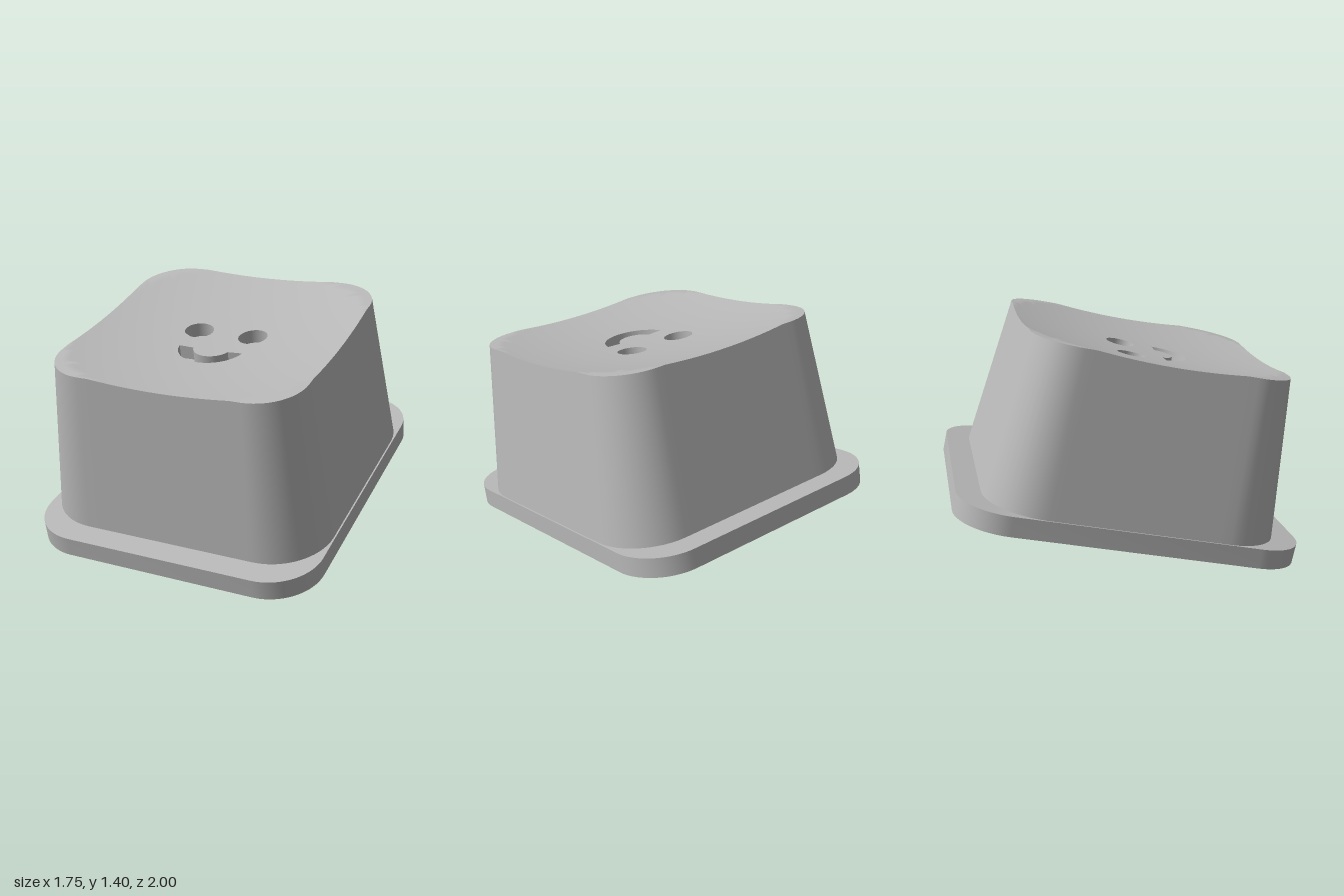
import * as THREE from 'three';
import { toCreasedNormals } from 'three/addons/utils/BufferGeometryUtils.js';

const TILT = THREE.MathUtils.degToRad(12);
const PLATE = { hx: 0.875, hz: 1.01, r: 0.3, h: 0.115 };
const TOP = 1.053;        // height of the flat corners of the cap
const DISH_R = 0.87;      // radius where the dish meets the flat corners
const DISH_D = 0.092;     // depth of the dish
const FACE_R = 0.32;      // disc that carries the eyes and mouth
const FACE_FLOOR = 0.885; // floor height of the eyes and mouth

const dishY = (x, z) => TOP - DISH_D * Math.max(0, 1 - (x * x + z * z) / DISH_R ** 2);

// Loops are 2D points, counter-clockwise from above, with 2D y = -z.
function arc(cx, cy, r, a0, a1, n) {
  return Array.from({ length: n + 1 }, (_, i) => {
    const a = a0 + (a1 - a0) * i / n;
    return new THREE.Vector2(cx + r * Math.cos(a), cy + r * Math.sin(a));
  });
}
const circle = (cx, cy, r, n = 48) => arc(cx, cy, r, 0, Math.PI * 2, n).slice(0, -1);

function roundedRect(hx, hy, r, nArc = 12, nSide = 16) {
  const signs = [[1, 1], [-1, 1], [-1, -1], [1, -1]];
  const corners = signs.map(([sx, sy], k) =>
    arc(sx * (hx - r), sy * (hy - r), r, k * Math.PI / 2, (k + 1) * Math.PI / 2, nArc));
  const pts = [];
  corners.forEach((c, k) => {
    pts.push(...c);
    const end = c[nArc], next = corners[(k + 1) % 4][0];
    for (let i = 1; i < nSide; i++) pts.push(end.clone().lerp(next, i / nSide));
  });
  return pts;
}

const lift = (loop, y) => loop.map(p =>
  new THREE.Vector3(p.x, typeof y === 'function' ? y(p.x, -p.y) : y, -p.y));

// Closed surface band through rows of equal length
function band(rows) {
  const n = rows[0].length, pos = [], idx = [];
  rows.forEach(row => row.forEach(p => pos.push(p.x, p.y, p.z)));
  for (let i = 0; i < rows.length - 1; i++) {
    for (let j = 0; j < n; j++) {
      const a = i * n + j, b = i * n + (j + 1) % n;
      idx.push(a, b, b + n, a, b + n, a + n);
    }
  }
  const g = new THREE.BufferGeometry();
  g.setAttribute('position', new THREE.Float32BufferAttribute(pos, 3));
  g.setIndex(idx);
  g.computeVertexNormals();
  return g;
}

function shapeOf(loop, holes = []) {
  const s = new THREE.Shape(loop);
  s.holes = holes.map(h => new THREE.Path(h));
  return s;
}

// Flat face at height y, looking up or down
function flat(loop, y, holes = [], down = false) {
  const g = new THREE.ShapeGeometry(shapeOf(loop, holes));
  g.rotateX(down ? Math.PI / 2 : -Math.PI / 2); // loops used facing down are symmetric
  return g.translate(0, y, 0);
}

// Drop a flat surface onto the dish, with smooth normals
function onDish(g) {
  const p = g.attributes.position, nor = g.attributes.normal, v = new THREE.Vector3();
  const k = 2 * DISH_D / DISH_R ** 2;
  for (let i = 0; i < p.count; i++) {
    const x = p.getX(i), z = p.getZ(i), s = Math.hypot(x, z) < DISH_R ? k : 0;
    p.setY(i, dishY(x, z));
    v.set(-x * s, 1, -z * s).normalize();
    nor.setXYZ(i, v.x, v.y, v.z);
  }
  return g;
}

export function createModel() {
  const grey = new THREE.MeshStandardMaterial({ color: 0xb8b8b8, side: THREE.DoubleSide });
  grey.name = 'grey';
  const cap = new THREE.Group();
  cap.name = 'tiltedCap';
  const add = (name, geometry) => {
    const m = new THREE.Mesh(geometry, grey);
    m.name = name;
    cap.add(m);
  };

  // Base plate with a rectangular opening underneath
  const recess = roundedRect(0.455, 0.5, 0.035, 6, 1);
  const plate = new THREE.ExtrudeGeometry(
    shapeOf(roundedRect(PLATE.hx, PLATE.hz, PLATE.r, 16, 1), [recess]),
    { depth: PLATE.h, bevelEnabled: false });
  plate.rotateX(-Math.PI / 2);
  add('basePlate', toCreasedNormals(plate, 0.5));

  // Round socket in the floor of the opening
  const socket = circle(0, 0, 0.31, 64);
  add('recessFloor', flat(recess, PLATE.h, [socket], true));
  add('socketWall', band([lift(socket, PLATE.h + 0.2), lift(socket, PLATE.h)]));
  add('socketFloor', flat(socket, PLATE.h + 0.2, [], true));

  // Tapered body whose upper rim follows the dish
  const bottom = lift(roundedRect(0.866, 0.866, 0.346), PLATE.h);
  const rim = lift(roundedRect(0.76, 0.76, 0.27), TOP).map((p, i) => {
    const q = p.clone();
    for (let k = 0; k < 4; k++) {
      const t = (dishY(q.x, q.z) - PLATE.h) / (TOP - PLATE.h);
      q.lerpVectors(bottom[i], p, t);
    }
    return q;
  });
  add('bodyWall', band([bottom, rim]));

  // Dished top around the face
  const faceLoop = rim.map(p => new THREE.Vector2(p.x, -p.z).setLength(FACE_R));
  const inner = lift(faceLoop, 0);
  const rows = [];
  for (let i = 0; i <= 14; i++) rows.push(rim.map((p, j) => p.clone().lerp(inner[j], i / 14)));
  add('dishedTop', onDish(band(rows)));

  // Sunken eyes and smile
  const mouthArc = (r, n) => {
    const a = Math.asin(0.033 / r);
    return arc(0, -0.083, r, Math.PI + a, 2 * Math.PI - a, n);
  };
  const pockets = {
    leftEye: circle(0.175, 0.094, 0.087),
    rightEye: circle(-0.175, 0.094, 0.087),
    mouth: [...mouthArc(0.203, 28), ...mouthArc(0.115, 20).reverse()],
  };
  add('faceDisc', onDish(flat(faceLoop, 0, Object.values(pockets))));
  for (const [name, loop] of Object.entries(pockets)) {
    add(name + 'Wall', toCreasedNormals(band([lift(loop, dishY), lift(loop, FACE_FLOOR)]), 0.5));
    add(name + 'Floor', flat(loop, FACE_FLOOR));
  }

  // Tilt so the front edge of the plate rests on the ground
  cap.rotation.x = TILT;
  cap.position.set(0, PLATE.hz * Math.sin(TILT), -PLATE.h * Math.sin(TILT) / 2);
  const model = new THREE.Group();
  model.name = 'smilingKeycap';
  model.add(cap);
  return model;
}
